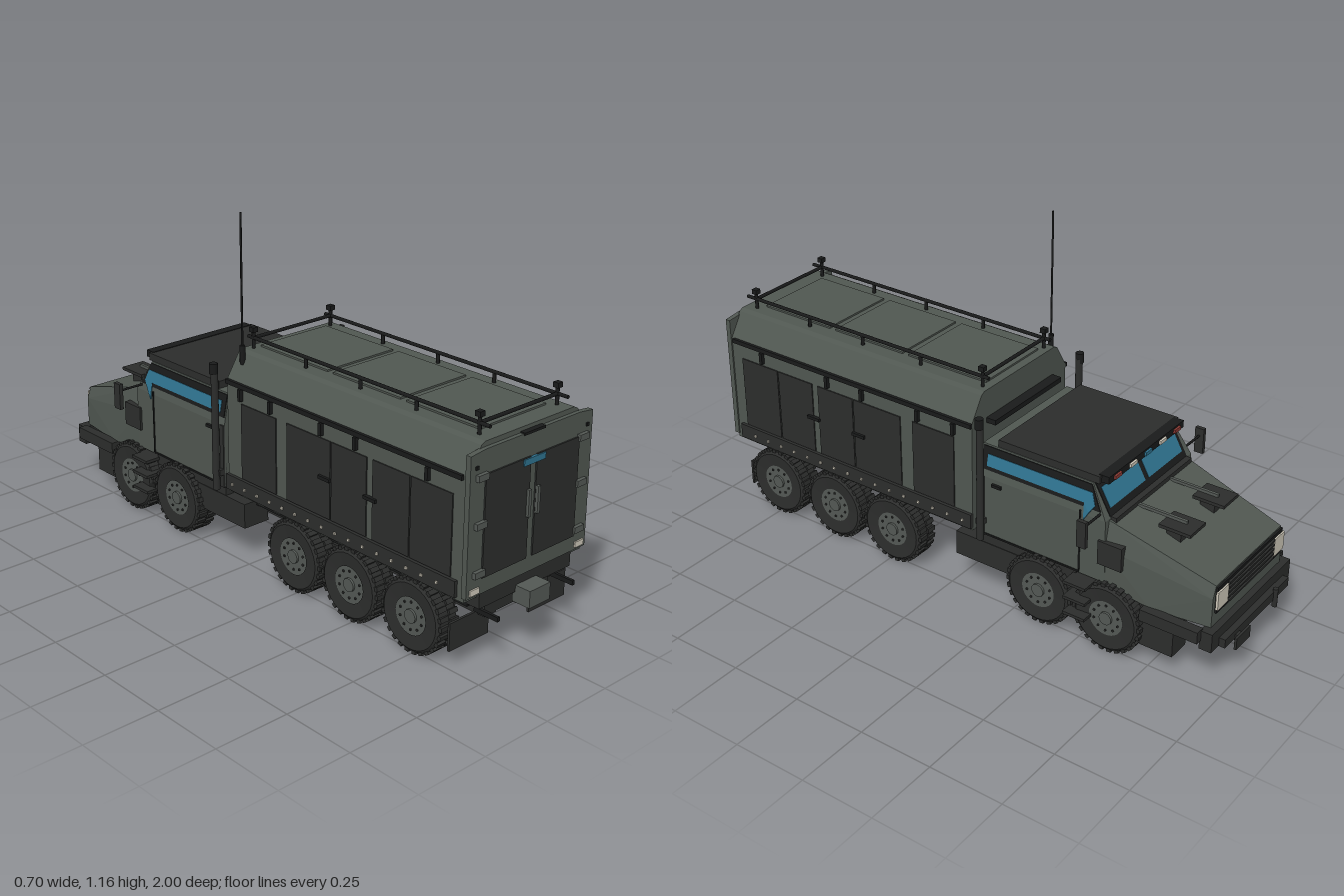
import * as THREE from 'three';
import { ConvexGeometry } from 'three/addons/geometries/ConvexGeometry.js';

const mat = (name, color) => Object.assign(new THREE.MeshStandardMaterial({ color }), { name });
const PAINT = mat('greyGreenPaint', 0x505751);
const DARK = mat('darkPanel', 0x2c2d2c);
const BLACK = mat('blackTrim', 0x191a1a);
const HUB = mat('hubGrey', 0x535854);
const GLASS = mat('blueGlass', 0x2f7390);
const LAMP = mat('lampWhite', 0xd0cabb);
const RED = mat('lampRed', 0x8c3a34);
const SIDES = [-1, 1];

export function createModel() {
  const root = new THREE.Group();
  root.name = 'truck';
  const add = (name, geo, m, parent = root) => {
    const mesh = new THREE.Mesh(geo, m);
    mesh.name = name;
    parent.add(mesh);
    return mesh;
  };
  // Box given by its extents on each axis
  const box = (name, m, x0, x1, y0, y1, z0, z1, parent = root) => {
    const b = add(name, new THREE.BoxGeometry(Math.abs(x1 - x0), y1 - y0, z1 - z0), m, parent);
    b.position.set((x0 + x1) / 2, (y0 + y1) / 2, (z0 + z1) / 2);
    return b;
  };
  const pair = (name, m, x0, x1, ...r) => SIDES.forEach(s => box(name, m, s * x0, s * x1, ...r));
  // Round bar between two points
  const bar = (name, m, a, b, r, sides = 8, parent = root) => {
    const p = new THREE.Vector3(...a), q = new THREE.Vector3(...b), d = q.clone().sub(p);
    const c = add(name, new THREE.CylinderGeometry(r, r, d.length(), sides), m, parent);
    c.position.copy(p).add(q).multiplyScalar(0.5);
    c.quaternion.setFromUnitVectors(new THREE.Vector3(0, 1, 0), d.normalize());
    return c;
  };
  // Convex body from half-points mirrored over x = 0
  const body = (name, m, pts) => add(name, new ConvexGeometry(
    pts.flatMap(([x, y, z]) => SIDES.map(s => new THREE.Vector3(s * x, y, z)))), m);
  // Thin plate from corner points, thickened along one direction
  const plate = (name, m, pts, dir) => add(name, new ConvexGeometry(
    pts.flatMap(p => SIDES.map(s => new THREE.Vector3(...p.map((v, i) => v + s * dir[i]))))), m);

  // Chassis
  pair('chassisRail', DARK, 0.09, 0.14, 0.14, 0.2, -0.95, 0.915);
  box('underFloor', BLACK, -0.2, 0.2, 0.19, 0.235, -0.92, 0.9);
  box('underTray', BLACK, -0.12, 0.12, 0.145, 0.195, -0.9, 0.86);
  bar('driveShaft', DARK, [0, 0.14, -0.6], [0, 0.14, 0.74], 0.016);
  pair('fuelTank', DARK, 0.15, 0.25, 0.12, 0.205, -0.26, -0.02);
  box('rearCrossMember', DARK, -0.2, 0.2, 0.2, 0.255, 0.88, 0.945);
  box('rearBeam', DARK, -0.13, 0.13, 0.145, 0.195, 0.87, 0.915);
  box('towBlock', HUB, -0.045, 0.045, 0.167, 0.222, 0.935, 1);
  pair('rearHook', BLACK, 0.16, 0.17, 0.165, 0.18, 0.9, 0.99);
  pair('rearMudflap', DARK, 0.09, 0.255, 0.06, 0.15, 0.88, 0.888);

  // Wheels and axles
  const treadProfile = [[0.06, -0.038], [0.105, -0.042], [0.115, -0.034], [0.115, 0.034], [0.105, 0.042], [0.06, 0.038]]
    .map(p => new THREE.Vector2(...p));
  const tireGeo = new THREE.LatheGeometry(treadProfile, 32).toNonIndexed();
  tireGeo.computeVertexNormals();
  const lugGeo = new THREE.BoxGeometry(0.012, 0.034, 0.015);
  const makeWheel = (x, z) => {
    const w = new THREE.Group();
    w.name = 'wheel';
    add('tire', tireGeo, DARK, w);
    for (let i = 0; i < 52; i++) {
      const a = i * Math.PI / 26, lug = add('treadLug', lugGeo, DARK, w);
      lug.position.set(Math.cos(a) * 0.116, i % 2 ? 0.02 : -0.02, -Math.sin(a) * 0.116);
      lug.rotation.y = a;
    }
    add('rim', new THREE.CylinderGeometry(0.065, 0.065, 0.07, 28), HUB, w);
    add('hubCap', new THREE.CylinderGeometry(0.022, 0.026, 0.084, 16), HUB, w);
    for (let i = 0; i < 10; i++) {
      const a = i * Math.PI / 5, nut = add('wheelNut', new THREE.CylinderGeometry(0.004, 0.004, 0.078, 6), DARK, w);
      nut.position.set(Math.cos(a) * 0.045, 0, Math.sin(a) * 0.045);
    }
    w.rotation.z = -Math.sign(x) * Math.PI / 2;
    w.position.set(x, 0.122, z);
    root.add(w);
  };
  for (const z of [0.745, 0.487, 0.235, -0.353, -0.604]) {
    SIDES.forEach(s => makeWheel(s * 0.23, z));
    bar('axle', DARK, [-0.2, 0.122, z], [0.2, 0.122, z], 0.018, 12);
    add('differential', new THREE.SphereGeometry(0.042, 16, 12), DARK).position.set(0, 0.122, z);
    pair('axleMount', DARK, 0.11, 0.13, 0.11, 0.16, z - 0.03, z + 0.03);
  }

  // Cargo body: chamfered section with a rear frame
  body('cargoBody', PAINT, [-0.09, 0.935].flatMap(z =>
    [[0.255, 0.235, z], [0.255, 0.62, z], [0.205, 0.7, z], [0.19, 0.708, z]]));
  body('rearFrame', PAINT, [0.93, 0.948].flatMap(z =>
    [[0.26, 0.25, z], [0.26, 0.685, z], [0.2, 0.692, z]]));
  pair('upperRail', BLACK, 0.25, 0.264, 0.607, 0.622, -0.09, 0.92);
  pair('lowerRail', DARK, 0.25, 0.266, 0.245, 0.297, -0.09, 0.91);
  for (let i = 0; i < 16; i++) pair('sideMarker', LAMP, 0.262, 0.271, 0.265, 0.273, -0.062 + i * 0.06, -0.054 + i * 0.06);
  [[0.725, 0.885], [0.57, 0.72], [0.395, 0.545], [0.195, 0.39], [-0.02, 0.145]].forEach(([a, b]) => {
    pair('sidePanel', DARK, 0.25, 0.259, 0.3, 0.555, a, b);
  });
  for (const z of [0.79, 0.5, 0.352, 0.122, -0.02])
    pair('railBracket', BLACK, 0.25, 0.268, 0.565, 0.605, z - 0.006, z + 0.006);
  for (const z of [0.565, 0.37]) pair('sideHandle', BLACK, 0.255, 0.268, 0.425, 0.436, z - 0.025, z + 0.025);
  box('frontRack', BLACK, -0.18, 0.18, 0.595, 0.612, -0.125, -0.088);

  // Rear doors
  pair('rearDoor', DARK, 0.013, 0.2, 0.3, 0.618, 0.944, 0.953);
  pair('doorHandle', HUB, 0.014, 0.025, 0.435, 0.52, 0.95, 0.962);
  for (const y of [0.615, 0.47, 0.32]) pair('doorHinge', HUB, 0.195, 0.237, y - 0.01, y + 0.01, 0.946, 0.96);
  pair('rearLamp', LAMP, 0.21, 0.248, 0.258, 0.276, 0.944, 0.953);
  pair('rearMarker', BLACK, 0.23, 0.241, 0.641, 0.651, 0.944, 0.953);
  box('rearBlueLamp', GLASS, -0.046, 0.046, 0.596, 0.616, 0.948, 0.957);
  box('rearTopLine', BLACK, -0.045, 0.045, 0.688, 0.696, 0.935, 0.952);

  // Roof panels, rails and antenna
  [[-0.06, 0.25], [0.275, 0.56], [0.585, 0.87]].forEach(([a, b]) => box('roofPanel', PAINT, -0.14, 0.14, 0.705, 0.714, a, b));
  SIDES.forEach(s => {
    bar('roofRail', BLACK, [s * 0.165, 0.742, -0.09], [s * 0.165, 0.742, 0.93], 0.006);
    for (const z of [-0.065, 0.18, 0.42, 0.65, 0.89]) bar('railPost', BLACK, [s * 0.165, 0.7, z], [s * 0.165, 0.742, z], 0.006);
    for (const z of [-0.065, 0.89]) {
      bar('lampPost', BLACK, [s * 0.165, 0.7, z], [s * 0.165, 0.765, z], 0.006);
      box('workLamp', BLACK, s * 0.155, s * 0.175, 0.762, 0.778, z - 0.01, z + 0.01);
    }
  });
  for (const z of [-0.065, 0.89]) bar('roofCrossBar', BLACK, [-0.17, 0.742, z], [0.17, 0.742, z], 0.006);
  bar('antennaBase', BLACK, [-0.22, 0.67, -0.055], [-0.22, 0.732, -0.055], 0.009);
  bar('antenna', BLACK, [-0.22, 0.73, -0.055], [-0.22, 1.16, -0.055], 0.0035, 6);

  // Cab
  body('cab', PAINT, [[0.25, 0.235, -0.115], [0.25, 0.45, -0.115], [0.228, 0.555, -0.115], [0.228, 0.555, -0.52],
    [0.25, 0.45, -0.58], [0.25, 0.235, -0.585]]);
  pair('cabSill', DARK, 0.16, 0.248, 0.2, 0.236, -0.48, -0.115);
  pair('cabRearTrim', DARK, 0.245, 0.256, 0.235, 0.45, -0.133, -0.115);
  pair('doorSeam', BLACK, 0.245, 0.253, 0.24, 0.46, -0.493, -0.488);
  pair('doorSill', BLACK, 0.245, 0.253, 0.237, 0.243, -0.49, -0.13);
  pair('doorGrip', BLACK, 0.245, 0.259, 0.425, 0.435, -0.2, -0.165);
  const wallX = y => 0.25 - Math.max(0, y - 0.45) * 0.2095;
  const frontZ = y => -0.58 + (y - 0.45) * 0.571;
  SIDES.forEach(s => {
    const side = (name, m, corners, t) => plate(name, m, corners.map(([y, z]) => [s * wallX(y), y, z]), [t, 0, 0]);
    side('sideWindowFrame', BLACK, [[0.475, -0.12], [0.55, -0.12], [0.55, -0.518], [0.475, -0.56]], 0.003);
    side('sideWindow', GLASS, [[0.488, -0.14], [0.527, -0.14], [0.527, -0.525], [0.488, -0.54]], 0.0045);
    side('quarterWindow', GLASS, [[0.43, -0.503], [0.49, -0.5], [0.49, -0.54], [0.46, -0.52]], 0.0042);
  });
  const screen = (name, m, x0, x1, y0, y1, t) => plate(name, m,
    [[x0, y0], [x1, y0], [x0, y1], [x1, y1]].map(([x, y]) => [x, y, frontZ(y)]), [0, 0, t]);
  screen('windscreenFrame', BLACK, -0.222, 0.222, 0.455, 0.552, 0.003);
  SIDES.forEach(s => screen('windscreen', GLASS, s * 0.01, s * 0.208, 0.475, 0.535, 0.0045));
  box('cabRoofPlate', DARK, -0.225, 0.225, 0.555, 0.58, -0.54, -0.17);
  box('sunVisor', BLACK, -0.215, 0.215, 0.558, 0.582, -0.566, -0.53);
  [-0.17, -0.085, 0, 0.085, 0.17].forEach((x, i) =>
    box('roofMarker', [RED, LAMP, GLASS, LAMP, RED][i], x - 0.018, x + 0.018, 0.564, 0.576, -0.573, -0.564));

  // Exhaust stacks, mirrors and steps
  SIDES.forEach(s => {
    bar('exhaustStack', DARK, [s * 0.272, 0.23, -0.133], [s * 0.272, 0.645, -0.133], 0.012, 14);
    bar('exhaustCap', BLACK, [s * 0.275, 0.63, -0.133], [s * 0.275, 0.665, -0.133], 0.014, 14);
    box('exhaustMount', DARK, s * 0.2, s * 0.272, 0.28, 0.3, -0.14, -0.115);
    bar('mirrorArm', BLACK, [s * 0.24, 0.467, -0.558], [s * 0.342, 0.467, -0.558], 0.004);
    box('mirror', DARK, s * 0.336, s * 0.35, 0.405, 0.495, -0.575, -0.543);
    for (const y of [0.11, 0.167, 0.222]) box('step', DARK, s * 0.2, s * 0.305, y - 0.005, y + 0.005, -0.55, -0.47);
    box('stepHanger', DARK, s * 0.2, s * 0.215, 0.105, 0.24, -0.49, -0.47);
  });
  pair('sideVent', DARK, 0.235, 0.258, 0.3, 0.382, -0.645, -0.56);

  // Hood
  const hoodPoints = [[0.25, 0.232, -0.575], [0.25, 0.36, -0.575], [0.228, 0.447, -0.575], [0.2, 0.34, -0.935],
    [0.215, 0.3, -0.935], [0.215, 0.2, -0.935], [0.24, 0.2, -0.74]];
  body('hood', PAINT, hoodPoints);
  box('cowl', DARK, -0.22, 0.22, 0.435, 0.455, -0.6, -0.575);
  SIDES.forEach(s => {
    const x = s * 0.1;
    box('hoodIntake', DARK, x - 0.045, x + 0.045, 0.425, 0.436, -0.81, -0.7);
    box('intakeNeck', DARK, x - 0.03, x + 0.03, 0.38, 0.428, -0.77, -0.72);
    box('wiperBar', HUB, s * 0.088, s * 0.098, 0.436, 0.446, -0.77, -0.59);
  });

  // Grille and headlamps
  box('grille', BLACK, -0.2, 0.2, 0.245, 0.335, -0.942, -0.932);
  for (let i = 0; i < 5; i++) box('grilleBar', DARK, -0.14, 0.14, 0.255 + i * 0.016, 0.262 + i * 0.016, -0.949, -0.94);
  pair('headlamp', LAMP, 0.143, 0.205, 0.26, 0.322, -0.947, -0.939);

  // Front bumper and guards
  box('frontBumper', DARK, -0.245, 0.245, 0.135, 0.2, -0.957, -0.915);
  box('bumperStep', DARK, -0.2, 0.2, 0.135, 0.165, -0.978, -0.95);
  pair('bumperWing', DARK, 0.235, 0.268, 0.165, 0.205, -0.92, -0.72);
  pair('frontFlap', DARK, 0.17, 0.25, 0.066, 0.17, -0.83, -0.715);
  box('frontPlate', DARK, 0.085, 0.17, 0.12, 0.16, -1, -0.992);
  box('frontPlateMount', DARK, 0.115, 0.14, 0.13, 0.15, -0.995, -0.95);
  bar('towPin', DARK, [-0.11, 0.11, -0.98], [-0.11, 0.175, -0.98], 0.009);
  return root;
}
